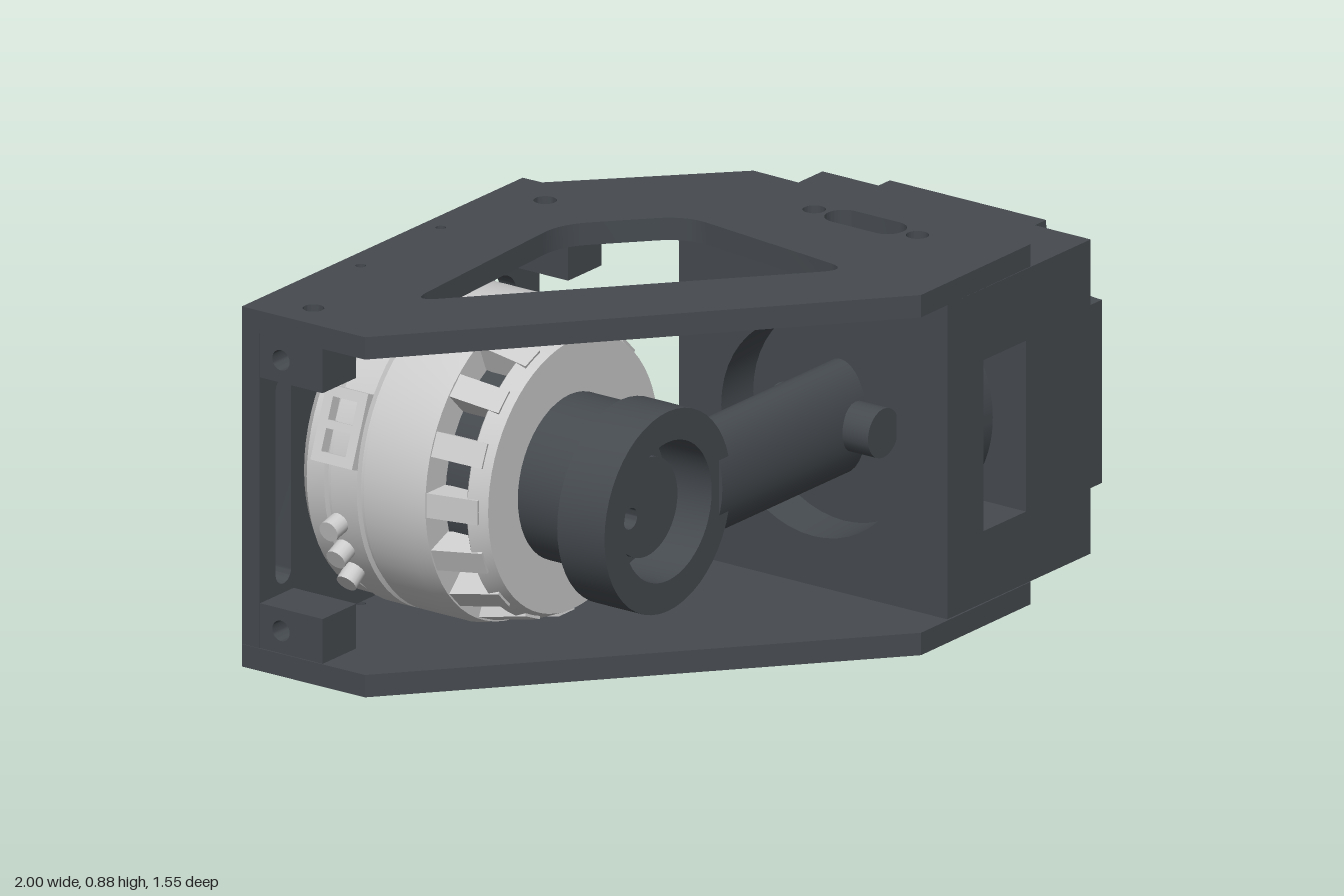
import * as THREE from 'three';
import { toCreasedNormals } from 'three/addons/utils/BufferGeometryUtils.js';

const DARK = new THREE.MeshStandardMaterial({ color: 0x464b50 });
const GREY = new THREE.MeshStandardMaterial({ color: 0xcccccc });
const MID = 0.4425;      // height of the motor and cylinder axes
const ROD_Z = 0.824;     // cylinder axis, measured forward from the back plate
const MOTOR_X = -0.02;

function add(parent, name, geo, mat, x = 0, y = 0, z = 0) {
  const m = new THREE.Mesh(geo, mat);
  m.name = name;
  m.position.set(x, y, z);
  parent.add(m);
  return m;
}
const poly = pts => new THREE.Shape(pts.map(p => new THREE.Vector2(p[0], p[1])));
const rect = (x0, y0, x1, y1) => poly([[x0, y0], [x1, y0], [x1, y1], [x0, y1]]);
const disc = (x, y, r) => new THREE.Shape().absarc(x, y, r, 0, Math.PI * 2, false);
function slot(x, y, half, r, ang) {
  const s = new THREE.Shape(), dx = Math.cos(ang) * half, dy = Math.sin(ang) * half;
  s.absarc(x + dx, y + dy, r, ang - Math.PI / 2, ang + Math.PI / 2, false);
  s.absarc(x - dx, y - dy, r, ang + Math.PI / 2, ang + Math.PI * 1.5, false);
  return s;
}
function extrude(shape, depth, holes = []) {
  shape.holes.push(...holes);
  const g = new THREE.ExtrudeGeometry(shape, { depth, bevelEnabled: false, curveSegments: 24 });
  return toCreasedNormals(g, 0.5);
}
const extrudeX = (shape, depth, holes) => extrude(shape, depth, holes).rotateY(Math.PI / 2);
const lathe = pts => toCreasedNormals(
  new THREE.LatheGeometry(pts.map(p => new THREE.Vector2(p[0], p[1])), 64).rotateX(Math.PI / 2), 0.45);
const rodZ = (r, len, seg = 40) => new THREE.CylinderGeometry(r, r, len, seg).rotateX(Math.PI / 2);

// Polygon with every corner rounded
function rounded(pts, k) {
  const s = new THREE.Shape(), v = pts.map(p => new THREE.Vector2(p[0], p[1])), n = v.length;
  v.forEach((p, i) => {
    const a = v[(i + n - 1) % n], b = v[(i + 1) % n];
    const p0 = p.clone().add(a.clone().sub(p).setLength(k));
    const p1 = p.clone().add(b.clone().sub(p).setLength(k));
    if (i) s.lineTo(p0.x, p0.y); else s.moveTo(p0.x, p0.y);
    s.quadraticCurveTo(p.x, p.y, p1.x, p1.y);
  });
  s.closePath();
  return s;
}

// Top and bottom plates; only the top one has the big window
function buildPlates(root) {
  const outline = [[-1, -0.385], [-0.72, -0.6], [0.57, -0.34], [0.83, 0], [0.2, 0.51], [-0.29, 0.44], [-0.334, 0.473]];
  const holes = () => [
    disc(-0.285, 0.32, 0.027), disc(-0.835, -0.4, 0.025), disc(0.335, 0.245, 0.027), disc(0.57, 0.067, 0.027),
    disc(-0.53, 0.14, 0.012), disc(-0.72, -0.115, 0.012), slot(0.452, 0.157, 0.063, 0.045, -0.66)];
  const cutout = rounded([[-0.61, -0.355], [-0.255, 0.155], [0.04, 0.205], [0.41, -0.165]], 0.07);
  for (const [name, y, extra] of [['bottomPlate', 0, []], ['topPlate', 0.83, [cutout]]])
    add(root, name, extrude(poly(outline), 0.055, [...holes(), ...extra]).rotateX(-Math.PI / 2), DARK, 0, y, 0);
}

function buildBackPlate(g) {
  const holes = [disc(MOTOR_X, 0, 0.25), slot(-0.45, 0, 0.225, 0.03, Math.PI / 2), slot(0.39, 0, 0.19, 0.065, Math.PI / 2)];
  for (let i = 0; i < 4; i++) {
    const a = 1.1 + i * Math.PI / 2;
    holes.push(disc(MOTOR_X + 0.315 * Math.cos(a), 0.315 * Math.sin(a), 0.022));
  }
  for (const x of [-0.45, 0.48]) for (const y of [-0.33, 0.33]) holes.push(disc(x, y, 0.022));
  add(g, 'backPlate', extrude(rect(-0.542, -0.3875, 0.542, 0.3875), 0.05, holes), DARK, 0, MID, 0);
  // Blocks joining the back plate to the other plates
  for (const sx of [-1, 1]) for (const sy of [-1, 1])
    add(g, 'cornerBlock', extrudeX(rect(-0.09, -0.055, 0.09, 0.055), 0.13, [disc(0.03, 0, 0.025)]),
      DARK, sx * 0.475 - 0.065, MID + sy * 0.3325, 0.14);
}

function buildMotor(g) {
  const motor = new THREE.Group();
  motor.name = 'motor';
  motor.position.set(MOTOR_X, MID, 0);
  g.add(motor);
  add(motor, 'motorBody', lathe([[0, 0.03], [0.1, 0.03], [0.13, 0.012], [0.245, 0.012], [0.245, 0.05], [0.35, 0.05], [0.38, 0.08],
    [0.38, 0.13], [0.37, 0.135], [0.37, 0.15], [0.388, 0.155], [0.388, 0.23], [0.378, 0.235], [0.378, 0.245], [0.388, 0.25],
    [0.388, 0.38], [0.378, 0.42], [0, 0.42]]), GREY);
  add(motor, 'motorCore', rodZ(0.3, 0.14), DARK, 0, 0, 0.47);
  add(motor, 'motorFrontCap', lathe([[0, 0.515], [0.345, 0.515], [0.35, 0.52], [0.33, 0.565], [0, 0.565]]), GREY);
  // Ribs between the vents
  for (let i = 0; i < 16; i++) {
    const rib = new THREE.Group();
    rib.name = 'ventRib';
    rib.rotation.z = i * Math.PI / 8;
    motor.add(rib);
    add(rib, 'ventRibBar', new THREE.BoxGeometry(0.07, 0.06, 0.13).rotateY(-0.22), GREY, 0.325, 0, 0.475);
  }
  add(motor, 'motorShaft', rodZ(0.038, 0.16, 24), GREY, 0, 0, -0.02);
  add(motor, 'shaftCollar', new THREE.TorusGeometry(0.075, 0.018, 10, 32), GREY, 0, 0, 0.03);
  // Side terminal frame and three plugs
  const frame = add(motor, 'terminalFrame', extrudeX(rect(-0.06, -0.09, 0.06, 0.09), 0.03,
    [rect(-0.035, -0.065, 0.035, -0.01), rect(-0.035, 0.01, 0.035, 0.065)]), GREY, -0.375, 0.14, 0.17);
  frame.rotation.z = -0.36;
  for (let i = 0; i < 3; i++) {
    const a = Math.PI + 0.25 + i * 0.19;
    const plug = add(motor, 'terminalPlug', new THREE.CylinderGeometry(0.026, 0.026, 0.09, 16), GREY,
      0.385 * Math.cos(a), 0.385 * Math.sin(a), 0.17);
    plug.rotation.z = a - Math.PI / 2;
  }
}

// Eccentric crank, connecting rod and piston
function buildCrank(g) {
  add(g, 'crankDisc', rodZ(0.2, 0.19, 48), DARK, -0.035, MID, 0.66);
  add(g, 'crankPin', extrude(disc(0, 0, 0.12), 0.08, [disc(-0.062, -0.01, 0.026)]), DARK, -0.1, MID, 0.755);
  add(g, 'rodRing', extrude(disc(0, 0, 0.245), 0.136, [disc(0, 0, 0.17)]), DARK, -0.093, MID, 0.755);
  const rod = add(g, 'connectingRod', new THREE.CylinderGeometry(0.14, 0.14, 0.56, 32).rotateZ(Math.PI / 2),
    DARK, 0.385, MID, ROD_Z);
  rod.scale.z = 0.55;
  add(g, 'wristPin', rodZ(0.06, 0.3, 24), DARK, 0.63, MID, ROD_Z);
  add(g, 'piston', new THREE.CylinderGeometry(0.262, 0.262, 0.3, 48).rotateZ(Math.PI / 2), DARK, 0.83, MID, ROD_Z);
}

function buildCylinder(g) {
  const S = 0.386, W = 0.21, R = 0.29, a = Math.asin(W / R);
  const block = new THREE.Group();
  block.name = 'cylinderBlock';
  block.position.set(0, MID, ROD_Z);
  g.add(block);
  const bore = () => disc(0, 0, 0.265);
  const square = () => rect(-S, -S, S, S);
  add(block, 'blockFront', extrudeX(square(), 0.14, [bore()]), DARK, 0.56);
  // Middle slice, opened on both sides around the sleeve
  const mid = new THREE.Shape();
  mid.moveTo(-S, -S).lineTo(S, -S).lineTo(S, -W);
  mid.absarc(0, 0, R, -a, a, false);
  mid.lineTo(S, W).lineTo(S, S).lineTo(-S, S).lineTo(-S, W);
  mid.absarc(0, 0, R, Math.PI - a, Math.PI + a, false);
  mid.lineTo(-S, -W);
  add(block, 'blockWindows', extrudeX(mid, 0.165, [bore()]), DARK, 0.7);
  add(block, 'blockRear', extrudeX(square(), 0.25), DARK, 0.865);

  // Head: cross outline with four recessed panels
  const N = 0.225, head = new THREE.Shape();
  head.moveTo(S, -N).lineTo(S, N).quadraticCurveTo(N, N, N, S);
  head.lineTo(-N, S).quadraticCurveTo(-N, N, -S, N);
  head.lineTo(-S, -N).quadraticCurveTo(-N, -N, -N, -S);
  head.lineTo(N, -S).quadraticCurveTo(N, -N, S, -N);
  const panels = [];
  for (const sx of [-1, 1]) for (const sy of [-1, 1]) {
    const p = new THREE.Path();
    p.moveTo(sx * 0.028, sy * 0.028).lineTo(sx * 0.34, sy * 0.028).lineTo(sx * 0.34, sy * 0.18);
    p.quadraticCurveTo(sx * 0.18, sy * 0.18, sx * 0.18, sy * 0.34);
    p.lineTo(sx * 0.028, sy * 0.34).closePath();
    panels.push(p);
    add(block, 'headBolt', new THREE.CylinderGeometry(0.035, 0.052, 0.035, 24).rotateZ(-Math.PI / 2),
      DARK, 1.132, sy * 0.29, sx * 0.297);
  }
  add(block, 'headCover', extrudeX(head, 0.045, panels), DARK, 1.114);

  // Outlet tubes on the rear side
  for (const s of [-1, 1]) {
    add(block, 'outletTube', extrude(disc(0, 0, 0.062), 0.28, [disc(0, 0, 0.036)]), DARK, 1, s * 0.177, 0.169 - ROD_Z);
  }
}

export function createModel() {
  const root = new THREE.Group();
  root.name = 'compressor';
  buildPlates(root);
  // Mechanism frame: local x runs along the cylinder, local z along the motor shaft
  const g = new THREE.Group();
  g.name = 'mechanism';
  g.position.set(-0.667, 0, -0.045);
  g.rotation.y = 0.911;
  root.add(g);
  buildBackPlate(g);
  buildMotor(g);
  buildCrank(g);
  buildCylinder(g);
  return root;
}
